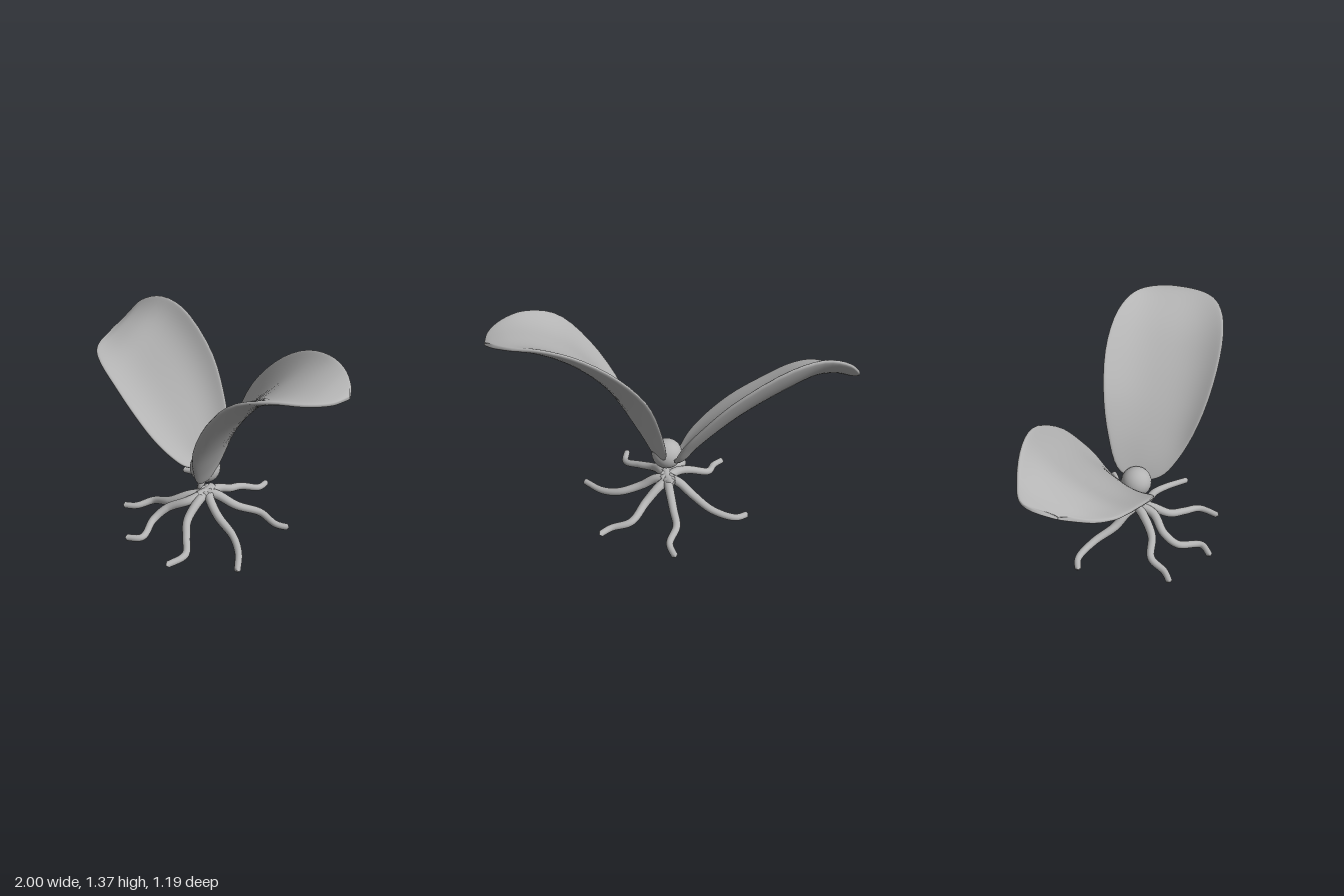
import * as THREE from 'three';

const grey = new THREE.MeshStandardMaterial({ color: 0xb4b4b4 });
grey.name = 'clay grey';

const curve = pts => new THREE.CatmullRomCurve3(pts.map(p => new THREE.Vector3(...p)));

// Cupped leaf: two rim curves and a midrib, closed into a thin shell with a rounded rim.
function makeLeaf(name, rimA, rib, rimB) {
  const A = curve(rimA), M = curve(rib), B = curve(rimB);
  const at = (u, v) => {
    const a = A.getPoint(u), b = B.getPoint(u), m = M.getPoint(u);
    m.sub(a.clone().add(b).multiplyScalar(0.5)).multiplyScalar(1 - Math.abs(v) ** 3);
    return a.lerp(b, (v + 1) / 2).add(m);
  };
  const normal = (u, v) => {
    const e = 0.015;
    u = THREE.MathUtils.clamp(u, 0.03, 0.97);
    v = THREE.MathUtils.clamp(v, -0.97, 0.97);
    const du = at(u + e, v).sub(at(u - e, v));
    const dv = at(u, v + e).sub(at(u, v - e));
    return du.cross(dv).normalize();
  };
  const rows = 48, cols = 44, pos = [], index = [];
  for (let i = 0; i <= rows; i++) {
    const u = (1 - Math.cos(Math.PI * i / rows)) / 2;
    const half = 0.02 * Math.max(0, Math.sin(Math.PI * i / rows)) ** 0.4;
    for (let j = 0; j < cols; j++) {
      const th = 2 * Math.PI * j / cols, v = Math.cos(th), s = Math.sin(th);
      const p = at(u, v).addScaledVector(normal(u, v), half * Math.sign(s) * Math.sqrt(Math.abs(s)));
      pos.push(p.x, p.y, p.z);
      if (i < rows) {
        const k = (j + 1) % cols, a = i * cols + j, b = i * cols + k;
        index.push(a, b, a + cols, b, b + cols, a + cols);
      }
    }
  }
  const geo = new THREE.BufferGeometry();
  geo.setAttribute('position', new THREE.Float32BufferAttribute(pos, 3));
  geo.setIndex(index);
  geo.computeVertexNormals();
  const mesh = new THREE.Mesh(geo, grey);
  mesh.name = name;
  return mesh;
}

// Root: a tapering tube whose first and last rings close into blunt ends.
function makeRoot(pts) {
  const path = curve(pts), segs = 48, sides = 12;
  const geo = new THREE.TubeGeometry(path, segs, 1, sides, false);
  const pos = geo.attributes.position, nor = geo.attributes.normal;
  for (let i = 0; i <= segs; i++) {
    const c = path.getPointAt(i / segs);
    const r = i === 0 || i === segs ? 0 : 0.034 - 0.013 * i / segs;
    for (let j = 0; j <= sides; j++) {
      const k = i * (sides + 1) + j;
      pos.setXYZ(k, c.x + nor.getX(k) * r, c.y + nor.getY(k) * r, c.z + nor.getZ(k) * r);
    }
  }
  const mesh = new THREE.Mesh(geo, grey);
  mesh.name = 'root';
  return mesh;
}

export function createModel() {
  const model = new THREE.Group();
  model.name = 'seedling';

  // Seed bulb
  const bulb = new THREE.Mesh(new THREE.SphereGeometry(0.1, 24, 16), grey);
  bulb.name = 'bulb';
  bulb.position.set(0, 0.407, 0.014);
  model.add(bulb);

  // Tall leaf on +x
  model.add(makeLeaf('leftLeaf',
    [[0.055, 0.36, 0.04], [0.06, 0.46, -0.1], [0.115, 0.7, -0.165], [0.215, 0.97, -0.19], [0.395, 1.19, -0.17],
      [0.595, 1.325, -0.1], [0.775, 1.37, 0], [0.89, 1.357, 0.09], [0.965, 1.335, 0.2], [1, 1.31, 0.3]],
    [[0.055, 0.36, 0.04], [0.1, 0.5, 0.06], [0.175, 0.67, 0.11], [0.28, 0.86, 0.16], [0.42, 1.055, 0.2],
      [0.575, 1.21, 0.23], [0.735, 1.295, 0.26], [0.87, 1.325, 0.28], [0.96, 1.32, 0.29], [1, 1.31, 0.3]],
    [[0.055, 0.36, 0.04], [0.06, 0.4, 0.185], [0.1, 0.55, 0.315], [0.17, 0.8, 0.44], [0.325, 1.08, 0.542],
      [0.5, 1.265, 0.585], [0.7, 1.328, 0.572], [0.85, 1.325, 0.515], [0.95, 1.315, 0.42], [1, 1.31, 0.3]]));

  // Lower, tilted leaf on -x
  model.add(makeLeaf('rightLeaf',
    [[-0.035, 0.37, -0.02], [0.02, 0.46, -0.15], [0.01, 0.635, -0.255], [-0.06, 0.785, -0.33], [-0.215, 1.005, -0.435],
      [-0.5, 1.215, -0.545], [-0.71, 1.253, -0.583], [-0.88, 1.19, -0.595], [-0.97, 1.1, -0.58], [-1, 1.02, -0.4]],
    [[-0.035, 0.37, -0.02], [-0.08, 0.43, -0.08], [-0.145, 0.53, -0.115], [-0.24, 0.645, -0.16], [-0.395, 0.795, -0.23],
      [-0.615, 0.955, -0.32], [-0.78, 1.03, -0.355], [-0.91, 1.04, -0.39], [-0.975, 1.025, -0.405], [-1, 1.02, -0.4]],
    [[-0.035, 0.37, -0.02], [-0.12, 0.395, 0.06], [-0.2, 0.46, 0.1], [-0.33, 0.56, 0.113], [-0.5, 0.69, 0.085],
      [-0.7, 0.82, 0.015], [-0.85, 0.91, -0.05], [-0.94, 0.955, -0.12], [-0.985, 0.98, -0.21], [-1, 1.02, -0.4]]));

  // Seven wavy roots crossing under the bulb, in plan as x, z with one of two height profiles
  const arched = [0.21, 0.19, 0.123, 0.085, 0.052, 0.035];
  const low = [0.205, 0.185, 0.12, 0.065, 0.037, 0.03];
  const plans = [
    [arched, [-0.02, 0.08], [0.03, -0.09], [0.06, -0.22], [0.09, -0.33], [0.18, -0.42], [0.19, -0.53]],
    [low, [-0.05, 0], [0.07, -0.03], [0.19, -0.07], [0.33, -0.15], [0.46, -0.12], [0.55, -0.14]],
    [low, [-0.03, -0.06], [0.06, 0.05], [0.15, 0.1], [0.29, 0.16], [0.38, 0.25], [0.46, 0.41]],
    [arched, [0.01, -0.08], [0, 0.1], [0, 0.24], [0.06, 0.35], [0.12, 0.46], [0.06, 0.59]],
    [low, [0.03, -0.06], [-0.06, 0.12], [-0.19, 0.19], [-0.24, 0.28], [-0.22, 0.44], [-0.32, 0.49]],
    [low, [0.05, -0.01], [-0.09, 0.06], [-0.22, 0.11], [-0.36, 0.1], [-0.45, 0.18], [-0.54, 0.21]],
    [low, [0.03, 0.06], [-0.06, -0.05], [-0.12, -0.13], [-0.2, -0.27], [-0.32, -0.37], [-0.42, -0.37]],
  ];
  const roots = new THREE.Group();
  roots.name = 'roots';
  for (const [heights, ...plan] of plans) roots.add(makeRoot(plan.map(([x, z], i) => [x, heights[i], z])));
  model.add(roots);

  return model;
}
